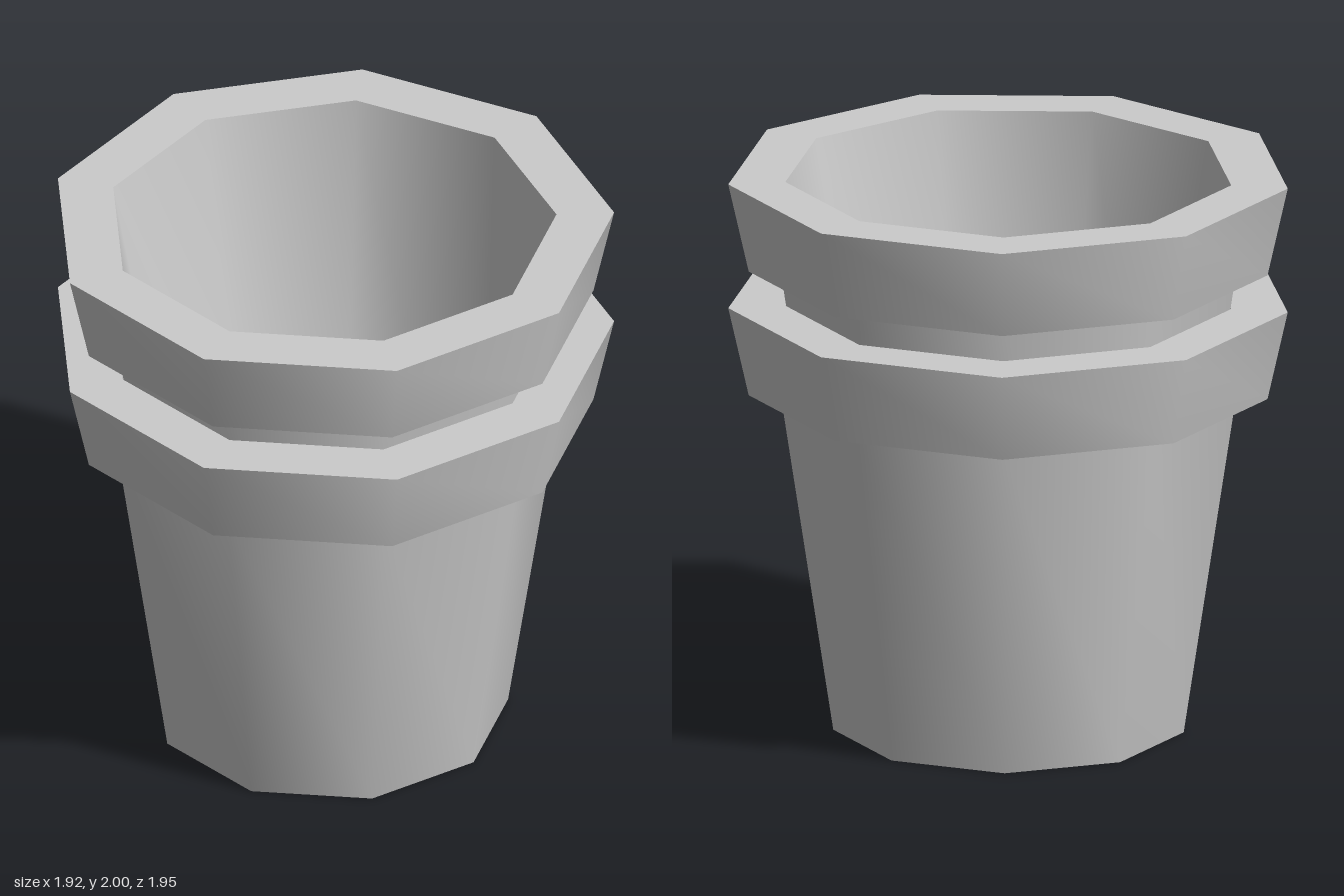
import * as THREE from 'three';
import { toCreasedNormals } from 'three/addons/utils/BufferGeometryUtils.js';

const SIDES = 9;
const STACK_STEP = 0.45;

// Closed pot profile [radius, height], from the recess under the base, up the outside, down the inside
const PROFILE = [
  [0, 0.12], [0.484, 0.12], [0.484, 0],   // recess under the base
  [0.62, 0], [0.806, 1.23],               // tapered body
  [0.918, 1.23], [0.99, 1.55],            // flared collar
  [0.789, 1.55], [0.536, 0.17], [0, 0.17] // lip, inner wall, floor
];

export function createModel() {
  const group = new THREE.Group();
  group.name = 'stackedPots';
  const material = new THREE.MeshStandardMaterial({ color: 0xcccccc });

  // Nine-sided lathe with one corner on -x; smooth round the sides, sharp at the rims
  const points = PROFILE.map(([r, y]) => new THREE.Vector2(r, y));
  const lathe = new THREE.LatheGeometry(points, SIDES, -Math.PI / 2);
  const geometry = toCreasedNormals(lathe, 0.9);

  // Two identical pots, one nested in the other
  ['lowerPot', 'upperPot'].forEach((name, i) => {
    const pot = new THREE.Mesh(geometry, material);
    pot.name = name;
    pot.position.set(0.03, i * STACK_STEP, 0);
    group.add(pot);
  });
  return group;
}
